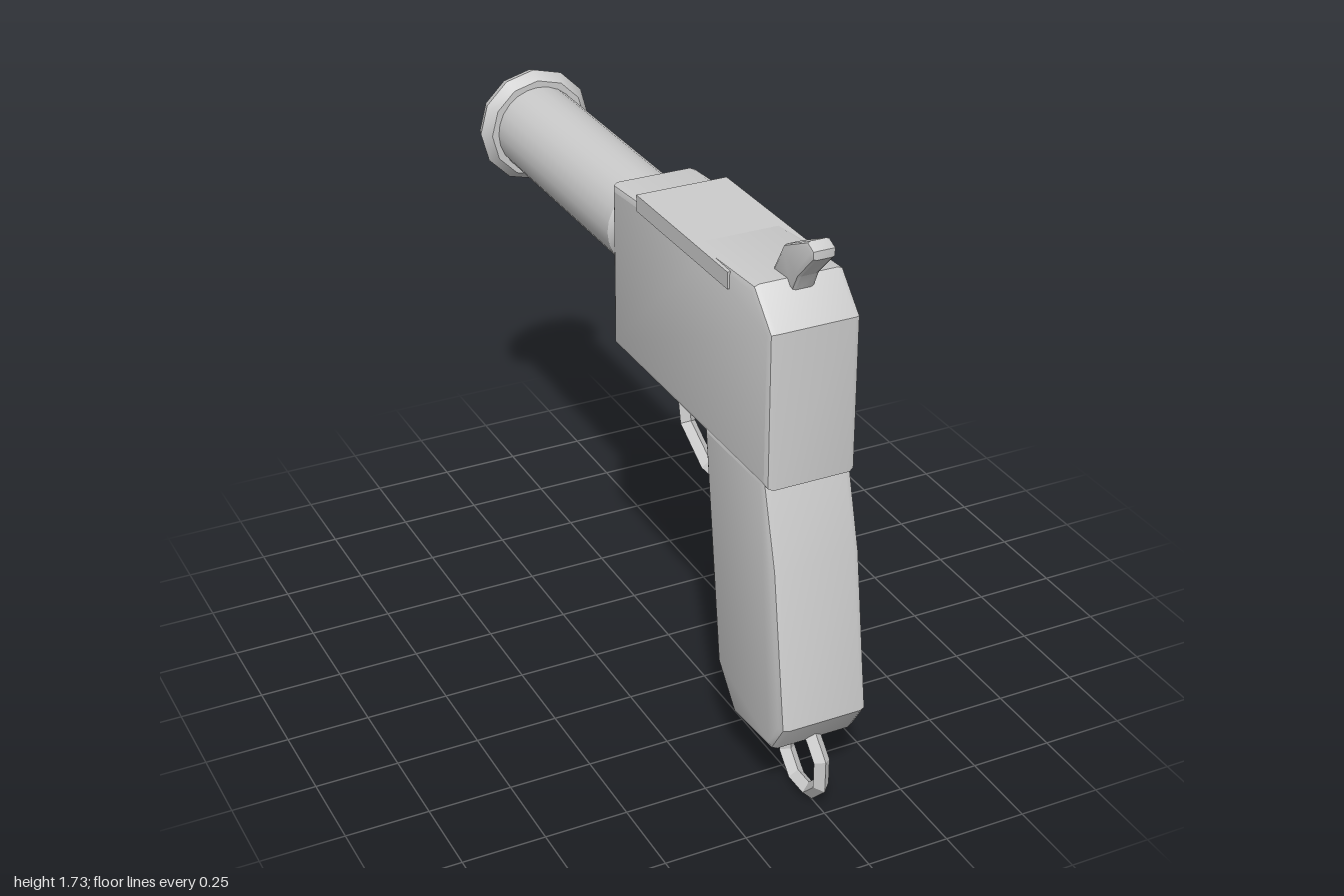
import * as THREE from 'three';
import { toCreasedNormals } from 'three/addons/utils/BufferGeometryUtils.js';

const metal = new THREE.MeshStandardMaterial({ color: 0xcccccc });
metal.name = 'light grey';

export function createModel() {
  const group = new THREE.Group();

  const add = (name, geometry) => {
    const mesh = new THREE.Mesh(geometry, metal);
    mesh.name = name;
    group.add(mesh);
    return mesh;
  };

  // Side profile given as [z, y] points, extruded across x with a bevelled edge
  const slab = (name, points, width, bevel) => {
    const shape = new THREE.Shape(points.map(([z, y]) => new THREE.Vector2(z, y)));
    const depth = width - 2 * bevel;
    const geo = new THREE.ExtrudeGeometry(shape, {
      depth, bevelEnabled: bevel > 0, bevelThickness: bevel,
      bevelSize: bevel, bevelOffset: -bevel, bevelSegments: 2,
    });
    geo.translate(0, 0, -depth / 2).rotateY(-Math.PI / 2);
    return add(name, toCreasedNormals(geo, 0.5));
  };

  // Round part along the barrel axis, profile given as [radius, distance forward]
  const turned = (name, points, segments) => {
    const geo = new THREE.LatheGeometry(points.map(([r, d]) => new THREE.Vector2(r, d)), segments);
    geo.rotateX(-Math.PI / 2).translate(0, 1.368, 0);
    return add(name, toCreasedNormals(geo, 0.45));
  };

  // Receiver and its top cover
  slab('receiver', [[0.87, 1.02], [-0.095, 1.02], [-0.095, 1.533], [0.5, 1.574],
    [0.77, 1.587], [0.87, 1.485]], 0.272, 0.02);
  slab('topCover', [[0.64, 1.52], [0.085, 1.52], [0.085, 1.57], [0.64, 1.57]], 0.284, 0);

  // Raked grip
  slab('grip', [[0.845, 1.045], [0.49, 1.045], [0.585, 0.31], [0.69, 0.19],
    [0.92, 0.21], [0.985, 0.31], [0.915, 0.79]], 0.27, 0.022);

  // Hammer and trigger
  slab('hammer', [[0.9, 1.715], [0.865, 1.73], [0.74, 1.67], [0.67, 1.55],
    [0.79, 1.55], [0.82, 1.61], [0.9, 1.69]], 0.07, 0.012);
  slab('trigger', [[0.395, 1.04], [0.305, 1.04], [0.33, 0.88], [0.41, 0.845], [0.41, 0.87]], 0.06, 0.01);

  // Barrel with a small chamfer where it meets the receiver
  turned('barrel', [[0.12, 0.08], [0.125, 0.1], [0.138, 0.12], [0.138, 0.95]], 24);

  // Faceted muzzle flange with a shallow stepped face
  turned('muzzleFlange', [[0.13, 0.933], [0.16, 0.933], [0.186, 0.965], [0.175, 1],
    [0.14, 1], [0.13, 0.985]], 12);
  turned('muzzleFace', [[0.137, 0.985], [0.06, 0.985], [0.055, 0.972], [0, 0.972]], 24);

  // Trigger guard: a diamond section swept along a bent path of straight pieces
  const path = [[0.085, 1.04], [0.13, 0.832], [0.268, 0.753], [0.417, 0.761], [0.51, 0.88]];
  const half = 0.024;
  const rings = path.map(([z, y], i) => {
    const a = path[Math.max(i - 1, 0)], b = path[Math.min(i + 1, path.length - 1)];
    const n = new THREE.Vector2(-(b[1] - a[1]), b[0] - a[0]).normalize().multiplyScalar(half);
    return [[0, y + n.y, z + n.x], [half, y, z], [0, y - n.y, z - n.x], [-half, y, z]];
  });
  const verts = [];
  for (let i = 0; i < rings.length - 1; i++) {
    for (let j = 0; j < 4; j++) {
      const k = (j + 1) % 4;
      const [a, b, c, d] = [rings[i][j], rings[i][k], rings[i + 1][k], rings[i + 1][j]];
      verts.push(...a, ...c, ...b, ...a, ...d, ...c);
    }
  }
  const guard = new THREE.BufferGeometry();
  guard.setAttribute('position', new THREE.Float32BufferAttribute(verts, 3));
  guard.computeVertexNormals();
  add('triggerGuard', guard);

  // Lanyard ring under the grip
  const ring = new THREE.TorusGeometry(0.108, 0.025, 4, 8);
  ring.rotateZ(Math.PI / 8).rotateY(Math.PI / 2).translate(0, 0.123, 0.875);
  add('lanyardRing', toCreasedNormals(ring, 0.3));

  return group;
}
